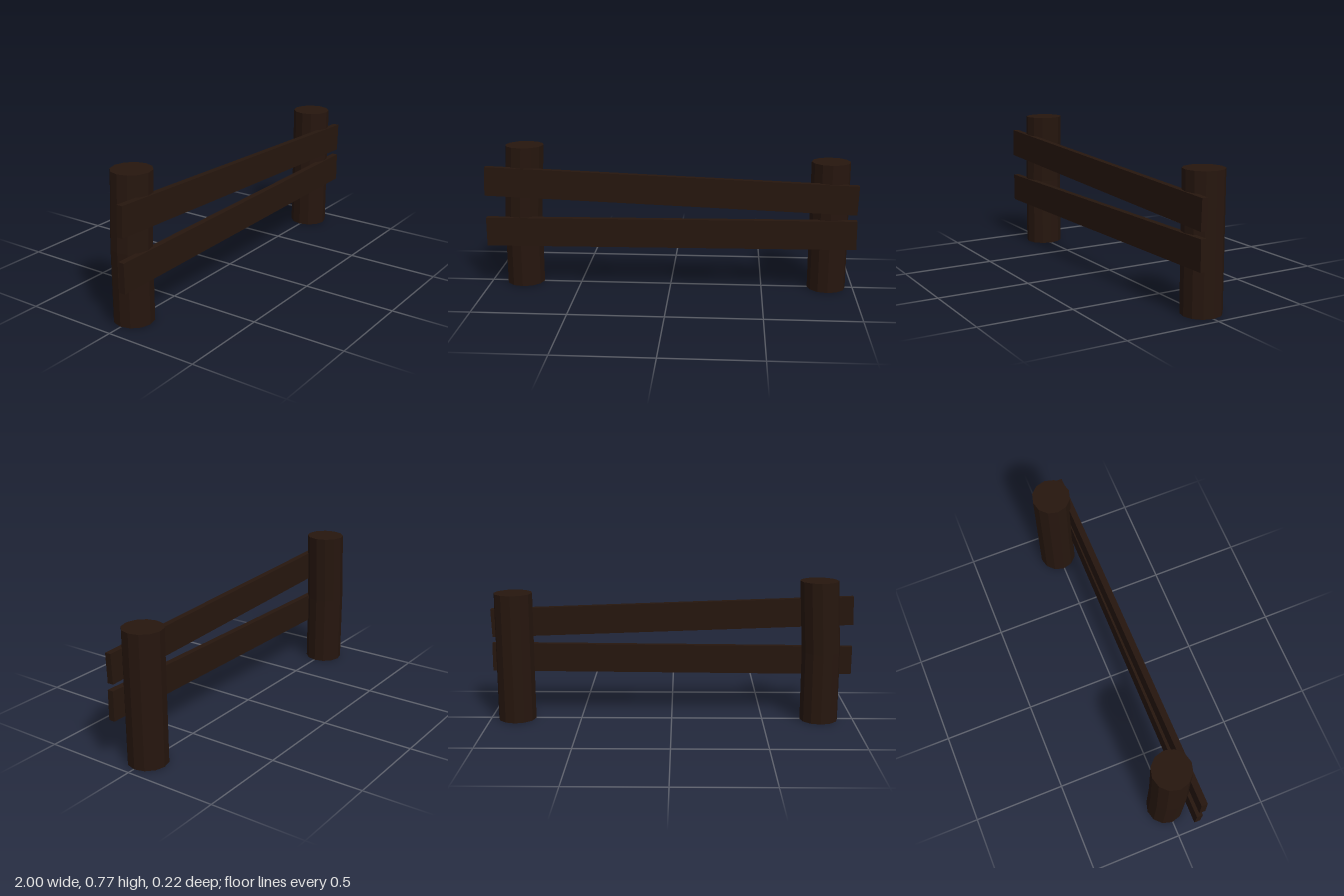
import * as THREE from 'three';

const wood = new THREE.MeshStandardMaterial({ color: 0x26160e, roughness: 0.9, flatShading: true });

// Round log post; the upper half can lean sideways by `lean`
function makePost(name, x, height, lean) {
  const geo = new THREE.CylinderGeometry(0.104, 0.104, height, 12, 2);
  geo.translate(0, height / 2, 0);
  const pos = geo.attributes.position;
  for (let i = 0; i < pos.count; i++) {
    const t = Math.max(0, pos.getY(i) / height - 0.5) * 2;
    pos.setX(i, pos.getX(i) + lean * t);
  }
  geo.computeVertexNormals();
  const post = new THREE.Mesh(geo, wood);
  post.name = name;
  post.position.set(x, 0, -0.003);
  return post;
}

// Flat plank running between two end heights
function makeRail(name, yRight, yLeft) {
  const rail = new THREE.Mesh(new THREE.BoxGeometry(1.993, 0.157, 0.033), wood);
  rail.name = name;
  rail.position.set(0, (yRight + yLeft) / 2, 0.0915);
  rail.rotation.z = Math.atan2(yLeft - yRight, 1.99);
  return rail;
}

export function createModel() {
  const fence = new THREE.Group();
  fence.name = 'fence';
  fence.add(
    makePost('rightPost', -0.813, 0.775, 0.02),
    makePost('leftPost', 0.856, 0.705, 0),
    makeRail('upperRail', 0.594, 0.519),
    makeRail('lowerRail', 0.313, 0.328)
  );
  return fence;
}
